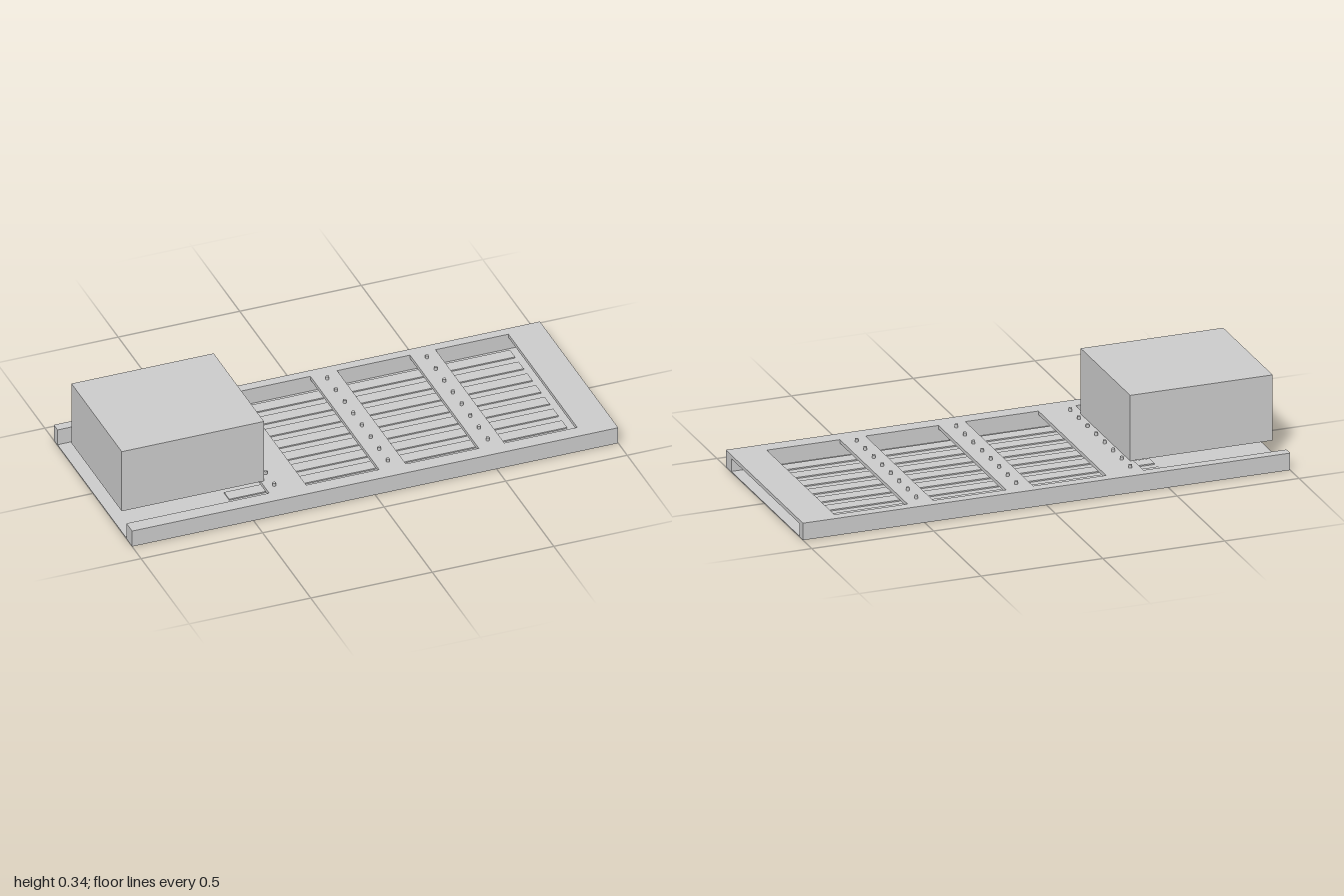
import * as THREE from 'three';

export function createModel() {
  const model = new THREE.Group();
  const material = new THREE.MeshStandardMaterial({ color: 0xcccccc });

  const add = (name, geometry, parent = model) => {
    const mesh = new THREE.Mesh(geometry, material);
    mesh.name = name;
    parent.add(mesh);
    return mesh;
  };
  // Box given by its limits on each axis
  const box = (name, [x0, x1], [y0, y1], [z0, z1], parent) =>
    add(name, new THREE.BoxGeometry(x1 - x0, y1 - y0, z1 - z0), parent)
      .position.set((x0 + x1) / 2, (y0 + y1) / 2, (z0 + z1) / 2);
  const trace = (path, x0, x1, z0, z1) => {
    path.moveTo(x0, -z1);
    path.lineTo(x1, -z1);
    path.lineTo(x1, -z0);
    path.lineTo(x0, -z0);
    path.closePath();
    return path;
  };

  const half = 0.407, back = -0.368, front = 0.348;

  // Thin floor and the two long side rails
  box('floorPlate', [-1, 1], [0.0005, 0.003], [-half, half]);
  box('frontRail', [-1, 1], [0, 0.07], [front, half]);
  box('backRail', [-1, 1], [0, 0.07], [-half, back]);

  // Raised deck between the rails, with three windows
  const deck = trace(new THREE.Shape(), -0.413, 1, back, front);
  for (const [x0, x1] of [[-0.26, 0.04], [0.15, 0.45], [0.555, 0.855]]) {
    deck.holes.push(trace(new THREE.Path(), x0, x1, back + 0.001, front - 0.001));
  }
  const deckGeometry = new THREE.ExtrudeGeometry(deck, { depth: 0.015, bevelEnabled: false });
  deckGeometry.rotateX(-Math.PI / 2);
  add('windowedDeck', deckGeometry).position.y = 0.055;

  // Long strips on the floor, each held by three pins through the deck
  const strips = new THREE.Group();
  strips.name = 'stripsAndPins';
  model.add(strips);
  const pinGeometry = new THREE.CylinderGeometry(0.0068, 0.0068, 0.077, 12);
  for (let i = 0; i < 8; i++) {
    const z = 0.305 - i * 0.09;
    box('strip', [-0.535, 0.855], [0, 0.008], [z - 0.027, z + 0.027], strips);
    for (const x of [-0.375, 0.093, 0.503]) {
      add('pin', pinGeometry, strips).position.set(x, 0.0445, z);
    }
  }

  // Large block over the open end
  box('block', [-0.985, -0.4], [0.07, 0.34], [-0.261, 0.261]);

  return model;
}
